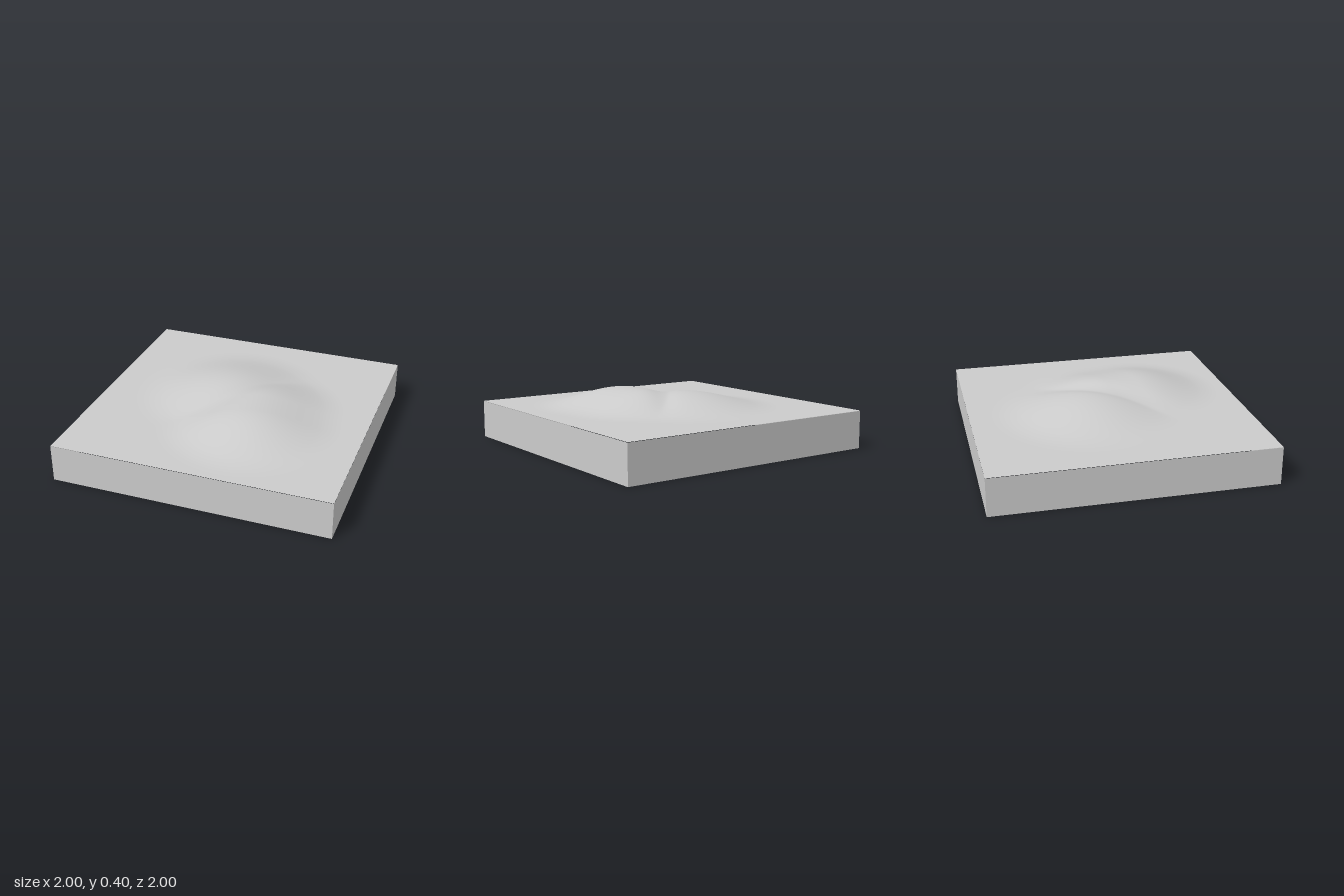
import * as THREE from 'three';

const BASE = 0.273; // height of the level ground

// Round hill around a short ridge line from a to b, falling as a cosine bell
function hill(x, z, [ax, az], [bx, bz], radius, height) {
  const dx = bx - ax, dz = bz - az;
  const len2 = dx * dx + dz * dz;
  const t = len2 ? THREE.MathUtils.clamp(((x - ax) * dx + (z - az) * dz) / len2, 0, 1) : 0;
  const d = Math.hypot(x - ax - t * dx, z - az - t * dz) / radius;
  return d < 1 ? height * Math.cos(d * Math.PI / 2) ** 2 : 0;
}

function groundHeight(x, z) {
  const a = hill(x, z, [0.16, 0.05], [0.2, 0.27], 0.68, 0.131);
  const b = hill(x, z, [-0.08, -0.12], [-0.08, -0.12], 0.73, 0.118);
  // Slightly softened union of the hills
  const d = a - b;
  const union = (a + b + Math.sqrt(d * d + 0.000025)) / 2 - 0.0025 * Math.min(1, (a + b) / 0.02);
  // Shallow diagonal valley between them
  const across = (x - 0.04) * 0.87 + (z - 0.03) * 0.49;
  const valley = 0.12 * Math.min(a, b) * Math.exp(-((across / 0.09) ** 2));
  return BASE + Math.max(0, union - valley);
}

export function createModel() {
  const group = new THREE.Group();
  group.name = 'terrainTile';
  const material = new THREE.MeshStandardMaterial({ color: 0xcccccc, side: THREE.DoubleSide });

  // Rolling top surface
  const ground = new THREE.PlaneGeometry(2, 2, 120, 120).rotateX(-Math.PI / 2);
  const p = ground.attributes.position;
  for (let i = 0; i < p.count; i++) p.setY(i, groundHeight(p.getX(i), p.getZ(i)));
  ground.computeVertexNormals();
  const top = new THREE.Mesh(ground, material);
  top.name = 'ground';
  group.add(top);

  // Four thin side walls, open underneath
  ['frontWall', 'leftWall', 'backWall', 'rightWall'].forEach((name, i) => {
    const wall = new THREE.PlaneGeometry(2, BASE).translate(0, BASE / 2, 1).rotateY(i * Math.PI / 2);
    const mesh = new THREE.Mesh(wall, material);
    mesh.name = name;
    group.add(mesh);
  });
  return group;
}
